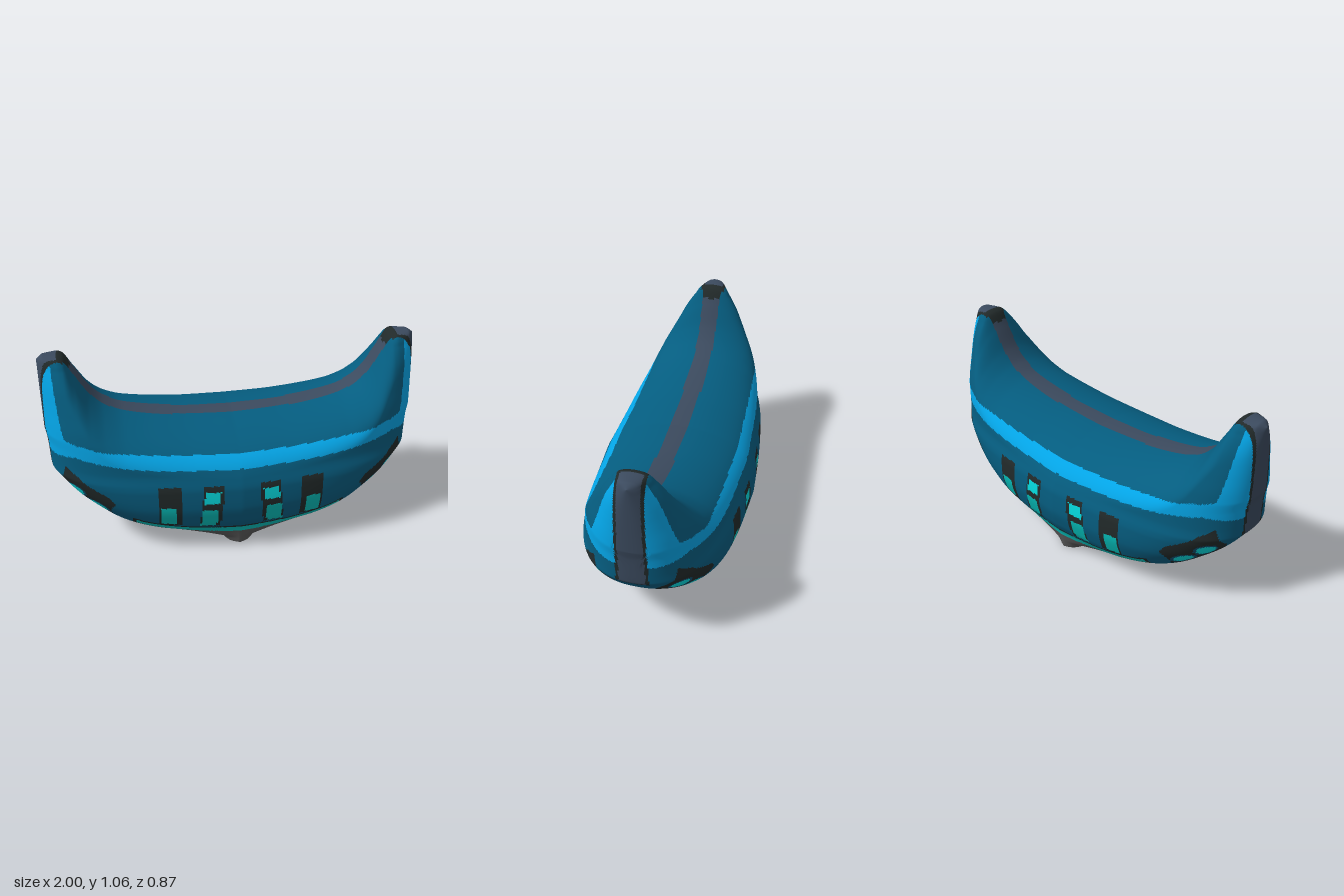
import * as THREE from 'three';
import { mergeVertices } from 'three/addons/utils/BufferGeometryUtils.js';

// Monotone cubic through [x, y] points
function curve(pts) {
  const n = pts.length, d = [], m = [];
  for (let i = 0; i < n - 1; i++) d.push((pts[i + 1][1] - pts[i][1]) / (pts[i + 1][0] - pts[i][0]));
  for (let i = 0; i < n; i++) {
    const a = d[Math.max(0, i - 1)], b = d[Math.min(n - 2, i)];
    m.push(a * b <= 0 ? 0 : 2 * a * b / (a + b));
  }
  return (x) => {
    if (x <= pts[0][0]) return pts[0][1];
    if (x >= pts[n - 1][0]) return pts[n - 1][1];
    let i = 0;
    while (x > pts[i + 1][0]) i++;
    const h = pts[i + 1][0] - pts[i][0], t = (x - pts[i][0]) / h, t2 = t * t, t3 = t2 * t;
    return (2 * t3 - 3 * t2 + 1) * pts[i][1] + (t3 - 2 * t2 + t) * h * m[i]
      + (3 * t2 - 2 * t3) * pts[i + 1][1] + (t3 - t2) * h * m[i + 1];
  };
}

// Upper edge by x, outer reach by y, half depth by y
const topEdge = curve([[0, 0.662], [0.23, 0.672], [0.39, 0.69], [0.58, 0.73], [0.68, 0.78],
  [0.75, 0.85], [0.82, 0.97], [0.87, 1.05], [0.9, 1.06], [0.965, 1.06], [1, 1.04]]);
const reach = curve([[0, 0.11], [0.03, 0.15], [0.06, 0.29], [0.085, 0.42], [0.11, 0.55], [0.12, 0.6],
  [0.128, 0.64], [0.165, 0.72], [0.25, 0.82], [0.33, 0.9], [0.42, 0.965], [0.45, 0.985], [0.6, 0.99], [0.66, 1]]);
const depth = curve([[0, 0.355], [0.1, 0.37], [0.2, 0.415], [0.3, 0.434], [0.4, 0.428], [0.5, 0.398],
  [0.6, 0.39], [0.7, 0.365], [0.8, 0.32], [0.9, 0.275], [1, 0.25], [1.03, 0.28], [1.06, 0.39]]);

function bottomEdge(x) {
  if (x <= 0.11) return 0;
  let lo = 0, hi = 0.66;
  for (let i = 0; i < 40; i++) {
    const mid = (lo + hi) / 2;
    if (reach(mid) < x) lo = mid; else hi = mid;
  }
  return hi;
}

function halfDepth(x, y) {
  const r = x / reach(y);
  const ends = Math.pow(Math.max(0, 1 - Math.pow(r, 4)), 0.43) * (1 - 0.125 * r);
  const down = Math.min(1, Math.max(0, topEdge(x) - y) / 0.2);
  return depth(y) * ends * Math.sqrt(1 - (1 - down) ** 2);
}

// Dark patch near each end, as [z, y]
const endPatch = [[0.208, 0.512], [0.195, 0.445], [0.13, 0.39], [0.076, 0.313], [0.13, 0.268], [0.158, 0.17],
  [0.24, 0.19], [0.285, 0.25], [0.338, 0.318], [0.333, 0.37], [0.27, 0.46]];
// Oval windows inside it: z, y, tilt
const ovals = [[0.206, 0.358, 0.6], [0.243, 0.268, 0.9]];

function inside(poly, x, y) {
  let hit = false;
  for (let i = 0, j = poly.length - 1; i < poly.length; j = i++) {
    const [ax, ay] = poly[i], [bx, by] = poly[j];
    if ((ay > y) !== (by > y) && x < (bx - ax) * (y - ay) / (by - ay) + ax) hit = !hit;
  }
  return hit;
}
const box = (x, y, x0, x1, y0, y1) => x > x0 && x < x1 && y > y0 && y < y1;

// Which painted part a point of the hull belongs to
function partAt(x, y, z) {
  // Slate spine over the ridge and down both ends, with dark borders on the ends
  const spine = x > 0.85 ? 0.067 - 0.02 * Math.max(0, y - 0.45) : 0.05;
  if (y > 1 && x < 0.9 && z < spine) return 'darkPanels';
  if (y > 0.43 && z < spine) return 'spine';
  if (y > 0.42 && x > 0.87 && z < spine + 0.015) return 'darkPanels';
  // Keel and its stripe
  const line = 0.092 + 0.24 * x * x;
  if (x < 0.582) {
    if (y < line) return 'keel';
    if (y < line + 0.038) return x < 0.56 ? 'tealWindows' : 'darkPanels';
    if (y < line + 0.05) return 'darkPanels';
  }
  // Oval end windows on their dark patch
  if (x > 0.55) {
    for (const [cz, cy, tilt] of ovals) {
      const c = Math.cos(tilt), s = Math.sin(tilt), dz = z - cz, dy = y - cy;
      const r = Math.hypot((dz * c + dy * s) / 0.046, (dy * c - dz * s) / 0.033);
      if (r < 1) return 'brightWindows';
      if (r < 1.28) return 'windowRims';
    }
    if (inside(endPatch, z, y)) return 'darkPanels';
  }
  // Tall side windows, the inner pair leaning slightly
  if (box(x, y, 0.347, 0.433, 0.19, 0.313)) return 'tealWindows';
  if (box(x, y, 0.32, 0.437, 0.18, 0.438)) return 'darkPanels';
  const s = x + (y - 0.3) * 0.09;
  if (box(s, y, 0.125, 0.21, 0.165, 0.29)) return 'tealWindows';
  if (box(s, y, 0.122, 0.205, 0.328, 0.4)) return 'brightWindows';
  if (box(s, y, 0.105, 0.215, 0.16, 0.432)) return 'darkPanels';
  // Light band that climbs the outside of the horns
  const low = 0.51 + 0.1 * x * x - 0.4 * Math.max(0, x - 0.85);
  const high = 0.572 + 0.12 * x * x + 0.3 * Math.max(0, (x - 0.89) / 0.038) ** 2;
  return y > low && y < high ? 'lightBand' : 'hull';
}

export function createModel() {
  const group = new THREE.Group();
  const cols = 290, rows = 124, pos = [], faces = {};

  // Two mirrored sheets, made of columns from bottom edge to top edge
  for (const side of [1, -1]) {
    const base = pos.length / 3;
    for (let i = 0; i <= cols; i++) {
      const x = Math.sin((i / cols - 0.5) * Math.PI), ax = Math.abs(x);
      const y0 = bottomEdge(ax), y1 = topEdge(ax);
      for (let j = 0; j <= rows; j++) {
        const y = y0 + (y1 - y0) * (0.5 - 0.5 * Math.cos(j / rows * Math.PI));
        const closed = j === rows || (j === 0 && ax > 0.11);
        pos.push(x, y, closed ? 0 : side * halfDepth(ax, y));
      }
    }
    for (let i = 0; i < cols; i++) for (let j = 0; j < rows; j++) {
      const a = base + i * (rows + 1) + j, b = a + rows + 1;
      const mid = (k) => (pos[a * 3 + k] + pos[b * 3 + k] + pos[a * 3 + 3 + k] + pos[b * 3 + 3 + k]) / 4;
      const part = partAt(Math.abs(mid(0)), mid(1), Math.abs(mid(2)));
      const quad = side > 0 ? [a, b, b + 1, a, b + 1, a + 1] : [a, b + 1, b, a, a + 1, b + 1];
      (faces[part] ||= []).push(...quad);
    }
  }

  // Weld the sheets so normals run smoothly over the seam and colour borders
  const names = Object.keys(faces);
  const shell = new THREE.BufferGeometry();
  shell.setAttribute('position', new THREE.Float32BufferAttribute(pos, 3));
  shell.setIndex(names.flatMap((n) => faces[n]));
  const welded = mergeVertices(shell, 1e-5);
  welded.computeVertexNormals();

  const colors = {
    hull: ['deepBlue', 0x055d80], lightBand: ['skyBlue', 0x04a6e8], spine: ['slate', 0x3b4a5e],
    keel: ['keelGrey', 0x585858], darkPanels: ['nearBlack', 0x222a2a], tealWindows: ['teal', 0x04bdb9],
    brightWindows: ['brightTeal', 0x04dce0], windowRims: ['rimBlue', 0x105272],
  };
  let start = 0;
  for (const name of names) {
    const geo = new THREE.BufferGeometry();
    geo.setAttribute('position', welded.getAttribute('position'));
    geo.setAttribute('normal', welded.getAttribute('normal'));
    geo.setIndex(Array.from(welded.index.array.slice(start, start + faces[name].length)));
    start += faces[name].length;
    const material = new THREE.MeshStandardMaterial({ color: colors[name][1], side: THREE.DoubleSide });
    material.name = colors[name][0];
    const mesh = new THREE.Mesh(geo, material);
    mesh.name = name;
    group.add(mesh);
  }
  return group;
}
